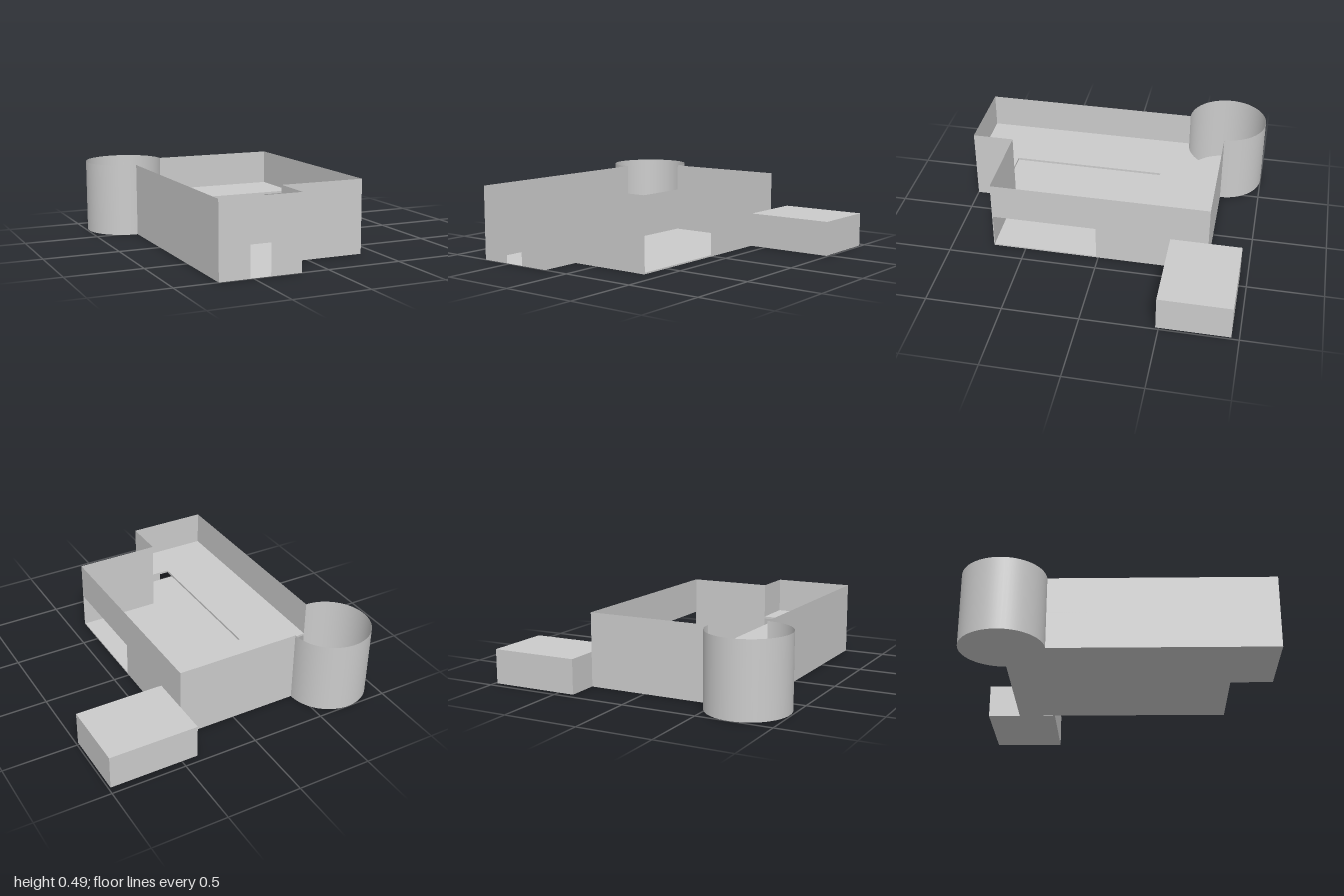
import * as THREE from 'three';

const H = 0.49;                         // wall height
const TX = -0.72, TZ = -0.73, R = 0.27; // tower centre and radius

export function createModel() {
  const model = new THREE.Group();
  const material = new THREE.MeshStandardMaterial({ color: 0xcccccc, side: THREE.DoubleSide });

  const add = (name, geometry) => {
    const mesh = new THREE.Mesh(geometry, material);
    mesh.name = name;
    model.add(mesh);
    return mesh;
  };
  const rectangle = (x0, y0, x1, y1) => [[x0, y0], [x1, y0], [x1, y1], [x0, y1]]
    .map(p => new THREE.Vector2(...p));

  // Thin upright wall between two plan points [x, z], with an optional opening
  const wall = (name, a, b, opening) => {
    const dx = b[0] - a[0], dz = b[1] - a[1];
    const shape = new THREE.Shape(rectangle(0, 0, Math.hypot(dx, dz), H));
    if (opening) shape.holes.push(new THREE.Path(rectangle(...opening)));
    const mesh = add(name, new THREE.ShapeGeometry(shape));
    mesh.position.set(a[0], 0, a[1]);
    mesh.rotation.y = Math.atan2(-dz, dx);
  };

  // Outer walls
  wall('entranceWall', [-0.72, 1], [-0.18, 1], [0.2, 0.001, 0.335, 0.205]);
  wall('notchSideWall', [-0.18, 1], [-0.18, 0.72]);
  wall('notchFrontWall', [-0.18, 0.72], [0.39, 0.72]);
  wall('windowWall', [0.39, 0.72], [0.39, TZ], [0.005, 0.01, 0.705, 0.24]);
  wall('backWall', [0.39, TZ], [TX + R, TZ]);
  wall('sideWall', [TX, TZ + R], [-0.72, 1]);

  // Round corner tower, open at the top and towards the rooms
  const tower = add('cornerTower',
    new THREE.CylinderGeometry(R, R, H, 48, 1, true, Math.PI / 2, Math.PI * 1.5));
  tower.position.set(TX, H / 2, TZ);

  // Ground floor, including the tower base
  const ground = new THREE.Shape();
  ground.moveTo(TX + R, TZ);
  [[0.39, TZ], [0.39, 0.72], [-0.18, 0.72], [-0.18, 1], [-0.72, 1], [TX, TZ + R]]
    .forEach(p => ground.lineTo(...p));
  ground.absarc(TX, TZ, R, Math.PI / 2, Math.PI * 2, false);
  add('groundFloor', new THREE.ShapeGeometry(ground, 36).rotateX(Math.PI / 2));

  // Upper floor slab, leaving a double-height void by the window and the tower well
  const slab = new THREE.Shape();
  slab.moveTo(TX + R, TZ);
  [[0.39, TZ], [0.39, -0.31], [-0.3, -0.31], [-0.3, 0.72], [-0.18, 0.72],
    [-0.18, 1], [-0.72, 1], [TX, TZ + R]].forEach(p => slab.lineTo(...p));
  slab.absarc(TX, TZ, R, Math.PI / 2, 0, true);
  add('upperFloor', new THREE.ExtrudeGeometry(slab,
    { depth: 0.015, bevelEnabled: false, curveSegments: 12 }).rotateX(Math.PI / 2)).position.y = 0.255;

  // Low closed annex
  add('annex', new THREE.BoxGeometry(0.595, 0.23, 0.47)).position.set(0.6885, 0.115, -0.715);

  return model;
}
